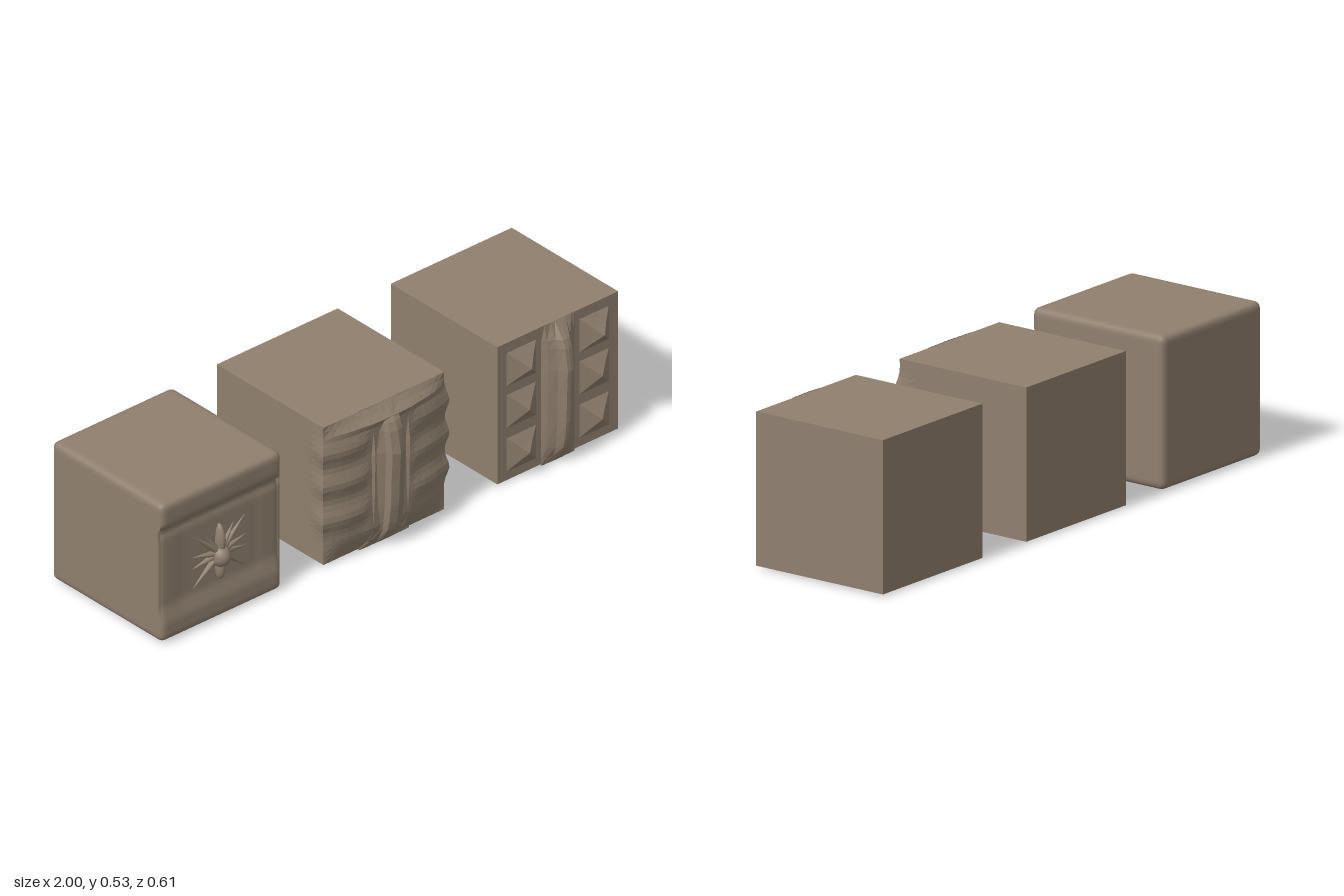
import * as THREE from 'three';
import { mergeVertices } from 'three/addons/utils/BufferGeometryUtils.js';

const SIZE = 0.525, HALF = SIZE / 2, BOTTOM = 0.01, BACK = -0.305, FRONT = 0.22;
const { smoothstep, clamp } = THREE.MathUtils;
const stone = new THREE.MeshStandardMaterial({ color: 0x8f7f6e, side: THREE.DoubleSide });
const facetedStone = stone.clone();
facetedStone.flatShading = true;

const bump = (v, centre, width) => Math.exp(-(((v - centre) / width) ** 2));

function named(name, geometry, material) {
  const mesh = new THREE.Mesh(geometry, material);
  mesh.name = name;
  return mesh;
}

// Moves every vertex of a geometry by a rule
function deform(geometry, rule) {
  const p = geometry.attributes.position, v = new THREE.Vector3();
  for (let i = 0; i < p.count; i++) {
    rule(v.fromBufferAttribute(p, i));
    p.setXYZ(i, v.x, v.y, v.z);
  }
  geometry.computeVertexNormals();
  return geometry;
}

// Vertical ridge: section is [x, height], profile is [y, scale]
function ridge(section, profile) {
  const g = new THREE.PlaneGeometry(1, 1, section.length - 1, profile.length - 1);
  return deform(g, (v) => {
    const [x, h] = section[Math.round((v.x + 0.5) * (section.length - 1))];
    const [y, s] = profile[Math.round((0.5 - v.y) * (profile.length - 1))];
    v.set(x, y, FRONT + h * s);
  });
}
const mirrored = (half) => [...half, ...half.slice(0, -1).reverse().map(([x, h]) => [-x, h])];

const ridgeProfile = [[0.536, 0.03], [0.48, 0.65], [0.45, 0.82], [0.37, 1], [0.27, 0.93],
  [0.17, 0.89], [0.1, 0.76], [0.07, 0.67], [0.03, 0.35], [0.003, 0.03]];

// Rounded cube with moulded bands and an eight-legged emblem
function emblemBlock() {
  const group = new THREE.Group();
  group.name = 'emblemBlock';
  const depth = 0.545, r = 0.022;
  let g = new THREE.BoxGeometry(SIZE, SIZE, depth, 50, 50, 50);
  g.deleteAttribute('uv');
  g.deleteAttribute('normal');
  g = mergeVertices(g);
  const lim = new THREE.Vector3(HALF - r, HALF - r, depth / 2 - r);
  const core = new THREE.Vector3();
  deform(g, (v) => {
    core.copy(v).clamp(lim.clone().negate(), lim);
    const front = v.z > depth / 2 - 0.001;
    v.sub(core).setLength(r).add(core);
    v.y += HALF + BOTTOM;
    v.z += BACK + depth / 2;
    if (front) {
      const panel = smoothstep(v.y, 0.07, 0.15) * (1 - smoothstep(v.y, 0.41, 0.46));
      const inset = 1 - smoothstep(Math.abs(v.x), 0.15, 0.2);
      v.z -= 0.013 * panel + 0.008 * bump(v.y, 0.425, 0.018) + 0.003 * panel * inset;
    }
  });
  group.add(named('roundedBlock', g, stone));

  const emblem = new THREE.Group();
  emblem.name = 'emblem';
  emblem.position.set(0, 0.25, 0.226);
  const oval = (name, y, sx, sy, sz) => {
    const m = named(name, new THREE.SphereGeometry(1, 16, 12), stone);
    m.position.y = y;
    m.scale.set(sx, sy, sz);
    emblem.add(m);
  };
  oval('body', -0.01, 0.035, 0.04, 0.045);
  oval('upperBody', 0.05, 0.016, 0.06, 0.028);
  oval('lowerBody', -0.05, 0.016, 0.05, 0.026);
  // Legs taper outward in mirrored pairs
  for (const side of [-1, 1]) {
    for (const [x, y] of [[0.065, 0.095], [0.115, 0.105], [0.12, 0.025], [0.12, -0.02], [0.115, -0.095]]) {
      const leg = new THREE.ConeGeometry(0.015, Math.hypot(x, y), 8, 3);
      const m = named('leg', leg, stone);
      m.rotation.z = Math.atan2(y, side * x) - Math.PI / 2;
      m.position.set(side * x / 2, y / 2, 0);
      m.scale.z = 1.3;
      emblem.add(m);
    }
  }
  group.add(emblem);
  return group;
}

// Cube whose bulging front has horizontal ribs beside a raised column
function ribbedBlock() {
  const group = new THREE.Group();
  group.name = 'ribbedBlock';
  const zs = [BACK, 0.15, 0.19, FRONT];
  const g = deform(new THREE.BoxGeometry(SIZE, SIZE, 1, 18, 26, 3), (v) => {
    const k = Math.round((v.z + 0.5) * 3);
    const x = v.x, y = v.y + HALF + BOTTOM;
    const fade = clamp((0.535 - y) / 0.04, 0, 1) * clamp((y - BOTTOM) / 0.07, 0, 1);
    const rib = bump(y, 0.43, 0.04) + bump(y, 0.305, 0.04) + bump(y, 0.175, 0.04);
    const outer = smoothstep(Math.abs(x), 0.07, 0.14);
    const edge = Math.abs(x) > HALF - 0.001;
    v.set(x, y, zs[k]);
    if (edge && k > 0) v.x += Math.sign(x) * 0.012 * rib * fade * [0, 0, 0.6, 1][k];
    const onFace = k === 3 && y > BOTTOM + 0.001 && y < BOTTOM + SIZE - 0.001;
    if (onFace) {
      const bulge = 0.03 * (1 - (x / HALF) ** 4) + 0.005;
      v.z += fade * (bulge + outer * 0.014 * (rib - 0.5)) + 0.008 * bump(y, 0.495, 0.012) * (1 - (x / HALF) ** 2);
    }
  });
  group.add(named('ribbedFace', g, facetedStone));
  const section = mirrored([[-0.11, 0], [-0.075, 0.045], [-0.064, 0.034], [-0.036, 0.052],
    [-0.028, 0.076], [0, 0.085]]);
  group.add(named('centreColumn', ridge(section, ridgeProfile), facetedStone));
  return group;
}

// Plain cube with a centre ridge between two columns of studs
function studdedBlock() {
  const group = new THREE.Group();
  group.name = 'studdedBlock';
  const box = new THREE.BoxGeometry(SIZE, SIZE, SIZE);
  box.translate(0, HALF + BOTTOM, FRONT - HALF);
  group.add(named('block', box, facetedStone));
  const section = mirrored([[-0.072, 0], [-0.058, 0.018], [-0.032, 0.038], [-0.014, 0.066], [0, 0.068]]);
  group.add(named('centreRidge', ridge(section, ridgeProfile), facetedStone));
  // Four-sided studs with a wide skirt and a steeper peak
  for (const side of [-1, 1]) {
    for (const [y, h] of [[0.433, 0.052], [0.272, 0.042], [0.106, 0.042]]) {
      const points = [[0.09, 0], [0.042, h * 0.5], [0, h]].map(([a, b]) => new THREE.Vector2(a, b));
      const g = new THREE.LatheGeometry(points, 4);
      g.rotateY(Math.PI / 4);
      g.rotateX(Math.PI / 2);
      const stud = named('stud', g, facetedStone);
      stud.position.set(side * 0.158, y, FRONT);
      group.add(stud);
    }
  }
  return group;
}

export function createModel() {
  const model = new THREE.Group();
  model.name = 'carvedBlocks';
  [[emblemBlock(), -0.738], [ribbedBlock(), -0.018], [studdedBlock(), 0.7375]].forEach(([block, x]) => {
    block.position.x = x;
    model.add(block);
  });
  return model;
}
